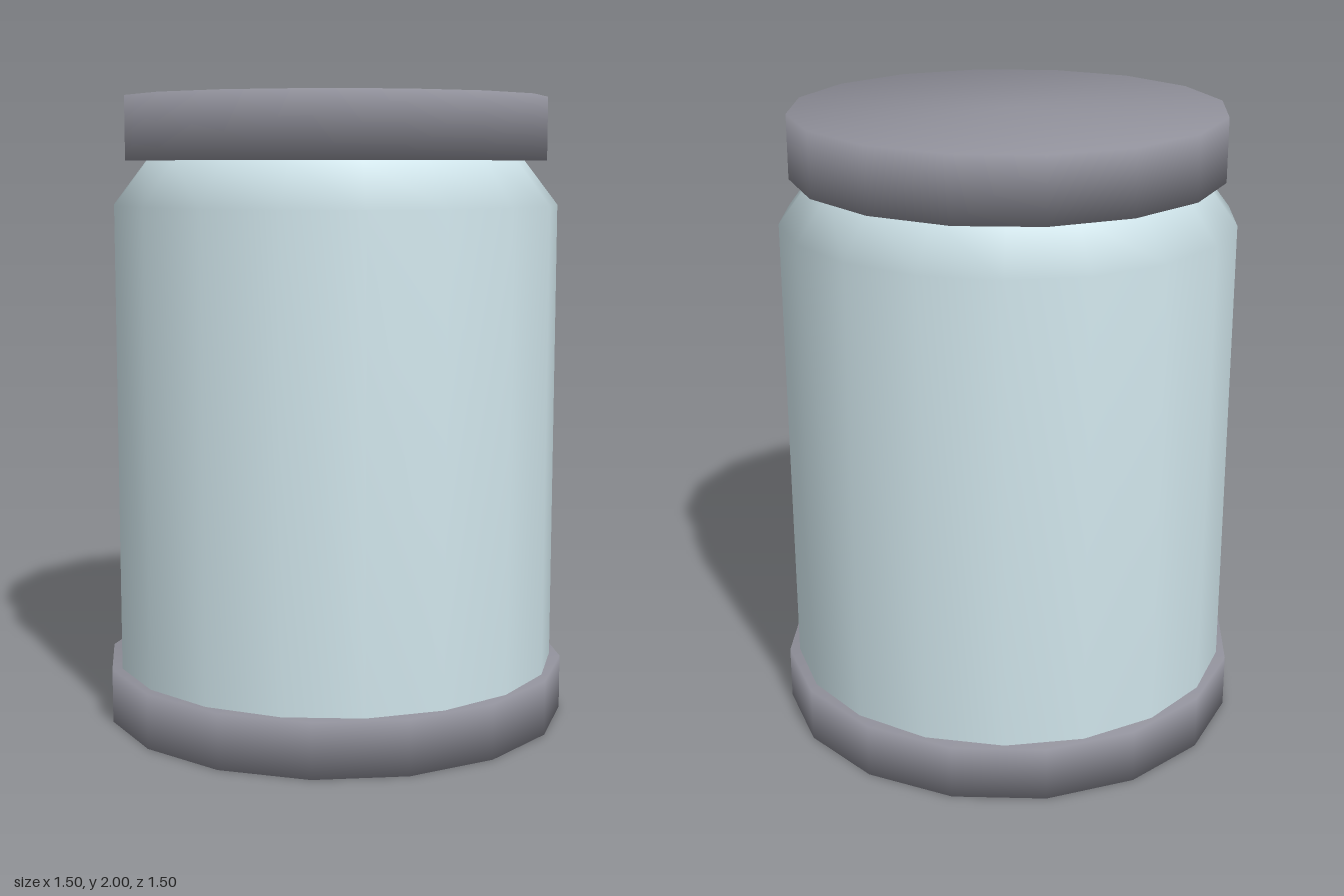
import * as THREE from 'three';
import { mergeVertices } from 'three/addons/utils/BufferGeometryUtils.js';

// Sixteen-sided disc with shading that rolls softly over its rims
function softDisc(name, radius, bottom, top, material) {
  const geometry = new THREE.CylinderGeometry(radius, radius, top - bottom, 16);
  geometry.deleteAttribute('uv');
  geometry.deleteAttribute('normal');
  const welded = mergeVertices(geometry, 1e-4);
  welded.computeVertexNormals();
  const mesh = new THREE.Mesh(welded, material);
  mesh.name = name;
  mesh.position.y = (top + bottom) / 2;
  return mesh;
}

export function createModel() {
  const group = new THREE.Group();
  group.name = 'jar';

  const metal = new THREE.MeshStandardMaterial({ color: 0x90909a });
  const glass = new THREE.MeshStandardMaterial({ color: 0xcfe4ea, side: THREE.DoubleSide });

  // Base and lid
  group.add(softDisc('base', 0.75, 0, 0.175, metal));
  group.add(softDisc('lid', 0.68, 1.8, 2, metal));

  // Eighteen-sided glass wall with a sloping shoulder
  const profile = [[0.717, 0.17], [0.717, 1.66], [0.61, 1.8]].map(([r, y]) => new THREE.Vector2(r, y));
  const body = new THREE.Mesh(new THREE.LatheGeometry(profile, 18, Math.PI / 2), glass);
  body.name = 'glassBody';
  group.add(body);

  return group;
}
